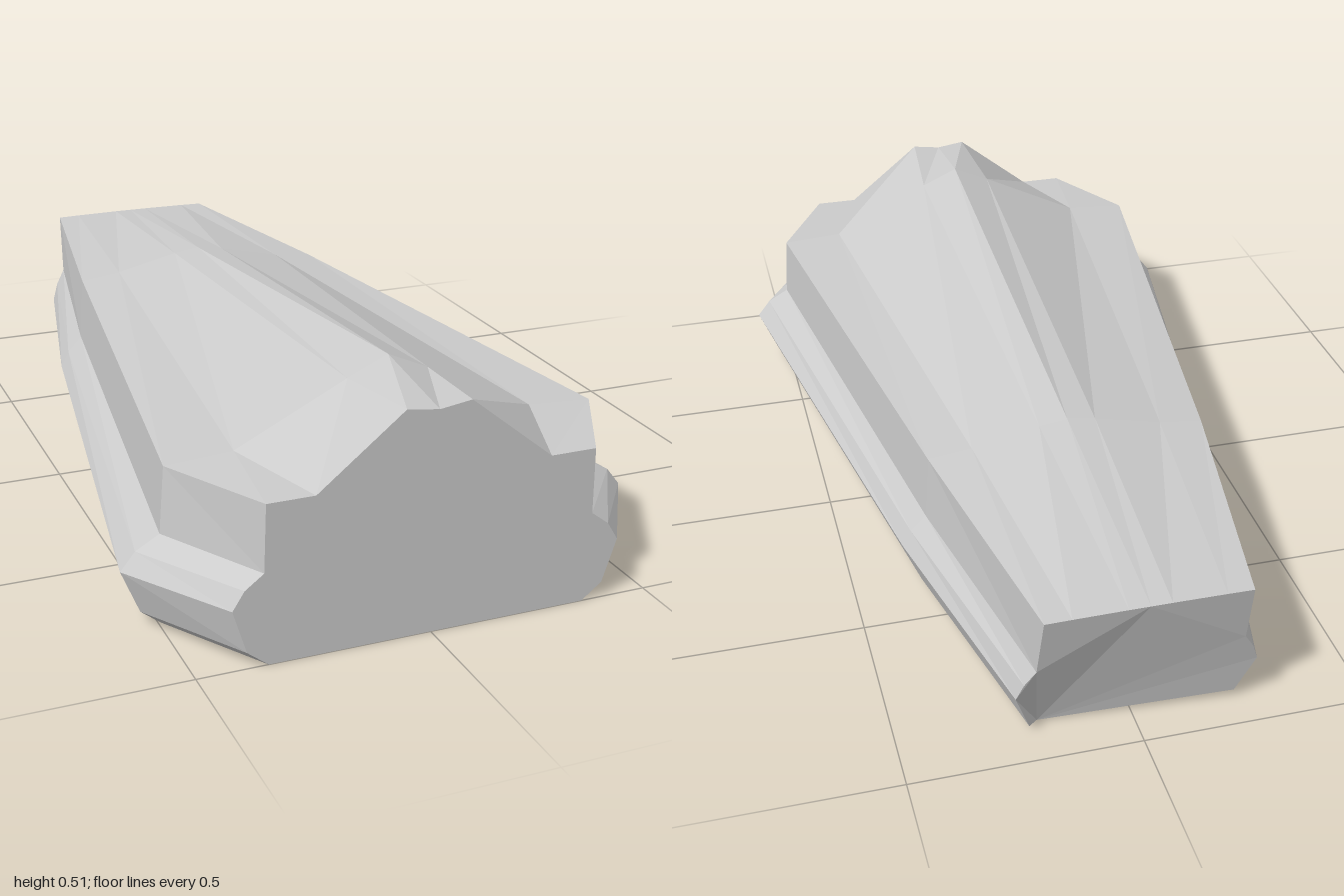
import * as THREE from 'three';

// Right half of each cross-section, from the bottom edge up to the centre ridge: [x, y]
const sections = [
  { z: 1, half: [[0.35, 0], [0.395, 0.035], [0.425, 0.13], [0.4, 0.17], [0.36, 0.2],
    [0.357, 0.345], [0.255, 0.345], [0.07, 0.493], [0, 0.483]] },
  { z: 0.77, half: [[0.495, 0], [0.537, 0.033], [0.577, 0.13], [0.545, 0.17], [0.493, 0.2],
    [0.483, 0.346], [0.335, 0.355], [0.09, 0.475], [0, 0.515]] },
  { z: -0.39, half: [[0.31, 0], [0.345, 0.025], [0.385, 0.126], [0.365, 0.165], [0.33, 0.203],
    [0.32, 0.355], [0.22, 0.367], [0.065, 0.402], [0, 0.411]] },
  { z: -1, half: [[0.2, 0], [0.225, 0.02], [0.26, 0.122], [0.245, 0.165], [0.222, 0.203],
    [0.217, 0.353], [0.16, 0.354], [0.045, 0.355], [0, 0.355]] },
];

// Stern plate leans forward toward the bottom, with a small chamfer at the base
const sternZ = (y) => (y < 0.01 ? -0.885 : -0.92 - 0.08 * (y - 0.02) / 0.335);

function ring({ z, half }) {
  const mirrored = half.slice(0, -1).reverse().map(([x, y]) => [-x, y]);
  return [...half, ...mirrored].map(([x, y]) =>
    new THREE.Vector3(x, y, z === -1 ? sternZ(y) : z));
}

function meshFrom(name, triangles, material) {
  const geometry = new THREE.BufferGeometry().setFromPoints(triangles);
  geometry.computeVertexNormals();
  const mesh = new THREE.Mesh(geometry, material);
  mesh.name = name;
  return mesh;
}

function cap(points, flip) {
  const contour = points.map((p) => new THREE.Vector2(p.x, p.y));
  return THREE.ShapeUtils.triangulateShape(contour, [])
    .flatMap(([a, b, c]) => (flip ? [a, c, b] : [a, b, c]).map((i) => points[i]));
}

export function createModel() {
  const group = new THREE.Group();
  group.name = 'taperedHull';
  const material = new THREE.MeshStandardMaterial({ color: 0xcccccc, flatShading: true });
  const rings = sections.map(ring);

  // Hull skin: facets joining neighbouring cross-sections, underside included
  const skin = [];
  for (let i = 0; i < rings.length - 1; i++) {
    const front = rings[i], back = rings[i + 1], n = front.length;
    for (let j = 0; j < n; j++) {
      const k = (j + 1) % n;
      skin.push(front[j], back[j], front[k], back[j], back[k], front[k]);
    }
  }
  group.add(meshFrom('hullSkin', skin, material));

  // End plates
  group.add(meshFrom('frontPlate', cap(rings[0], false), material));
  group.add(meshFrom('sternPlate', cap(rings[rings.length - 1], true), material));
  return group;
}
